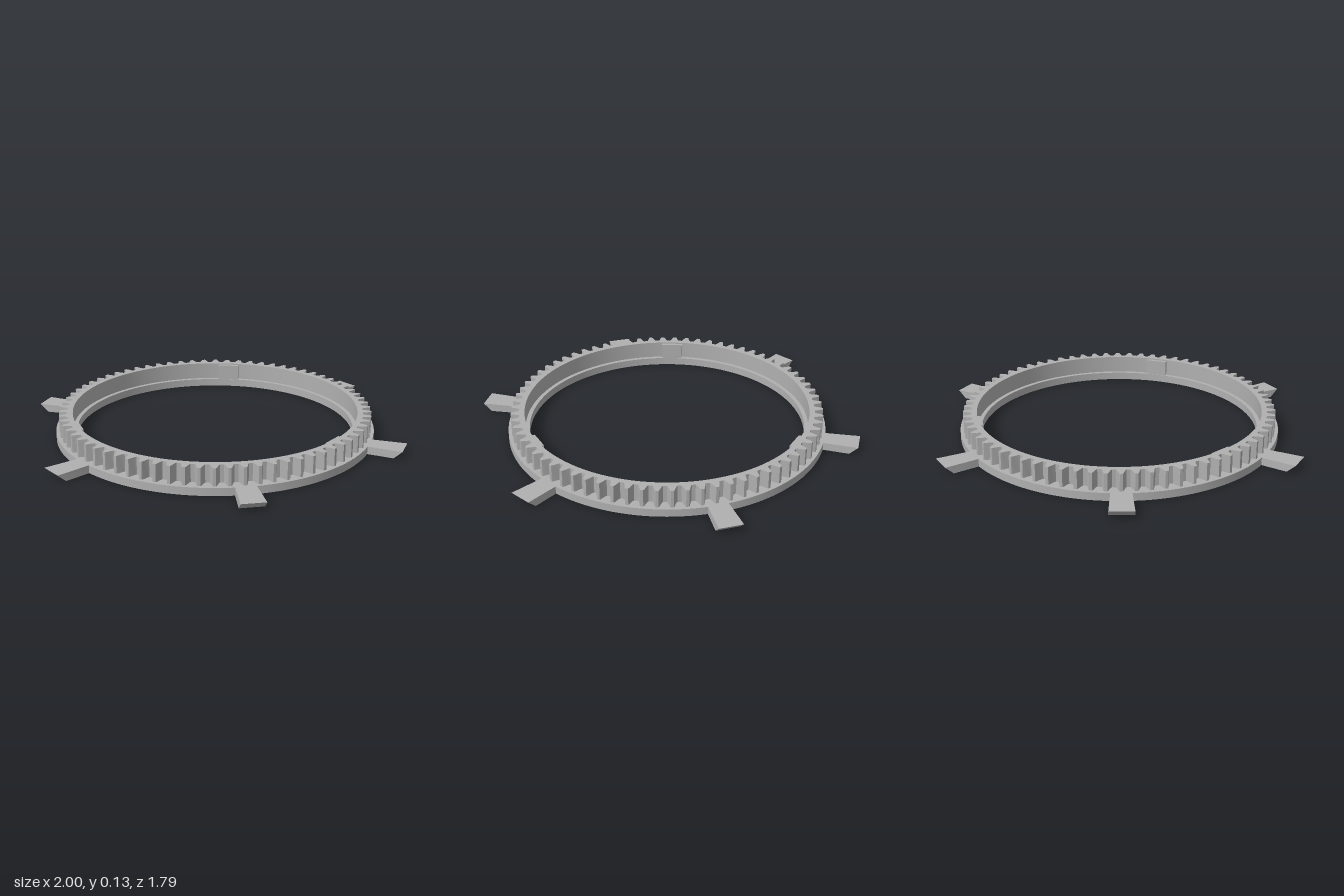
import * as THREE from 'three';
import { toCreasedNormals } from 'three/addons/utils/BufferGeometryUtils.js';

const BASE_H = 0.04, TOP = 0.13, TEETH = 72;

// Extrude a plan shape upwards from y0 to y1
function slab(shape, y0, y1) {
  const geo = new THREE.ExtrudeGeometry(shape, { depth: y1 - y0, bevelEnabled: false, curveSegments: 96 });
  geo.rotateX(-Math.PI / 2).translate(0, y0, 0);
  return toCreasedNormals(geo, 0.35);
}

function withHole(shape, radius) {
  shape.holes.push(new THREE.Path().absarc(0, 0, radius, 0, Math.PI * 2, true));
  return shape;
}

// Gear outline: each tooth has a root, two sloping flanks and a flat tip
function gearShape() {
  const points = [], pitch = Math.PI * 2 / TEETH;
  const tooth = [[-0.36, 0.765], [-0.29, 0.772], [-0.15, 0.802], [-0.1, 0.808],
    [0.1, 0.808], [0.15, 0.802], [0.29, 0.772], [0.36, 0.765]];
  for (let i = 0; i < TEETH; i++) {
    for (const [t, r] of tooth) {
      const a = (i + t) * pitch;
      points.push(new THREE.Vector2(Math.cos(a) * r, Math.sin(a) * r));
    }
  }
  return withHole(new THREE.Shape(points), 0.737);
}

// Flared tab whose end is undercut
function tabGeometry() {
  const shape = new THREE.Shape([[0.81, -0.05], [1, -0.06], [1, 0.06], [0.81, 0.05]]
    .map(([x, y]) => new THREE.Vector2(x, y)));
  const geo = new THREE.ExtrudeGeometry(shape, { depth: BASE_H, bevelEnabled: false });
  geo.rotateX(-Math.PI / 2);
  const p = geo.attributes.position;
  for (let i = 0; i < p.count; i++) {
    if (p.getX(i) > 0.9 && p.getY(i) < 0.01) p.setX(i, 0.957);
  }
  return toCreasedNormals(geo, 0.35);
}

export function createModel() {
  const group = new THREE.Group();
  const grey = new THREE.MeshStandardMaterial({ color: 0xb0b0b0 });
  grey.name = 'grey';
  const add = (geo, name, degrees = 0) => {
    const mesh = new THREE.Mesh(geo, grey);
    mesh.name = name;
    mesh.rotation.y = -THREE.MathUtils.degToRad(degrees);
    group.add(mesh);
  };

  // Base flange and toothed ring
  const disc = new THREE.Shape().absarc(0, 0, 0.825, 0, Math.PI * 2, false);
  add(slab(withHole(disc, 0.716), 0, BASE_H), 'baseRing');
  add(slab(gearShape(), BASE_H, TOP), 'gearRing');

  // Six tabs around the flange
  const tab = tabGeometry();
  for (let i = 0; i < 6; i++) add(tab, 'tab' + (i + 1), i * 60);

  // Three flat pads on the inner wall
  const pad = new THREE.BoxGeometry(0.026, 0.083, 0.115);
  pad.translate(0.731, BASE_H + 0.0415, 0);
  [256, 18, 139].forEach((angle, i) => add(pad, 'innerPad' + (i + 1), angle));

  return group;
}
